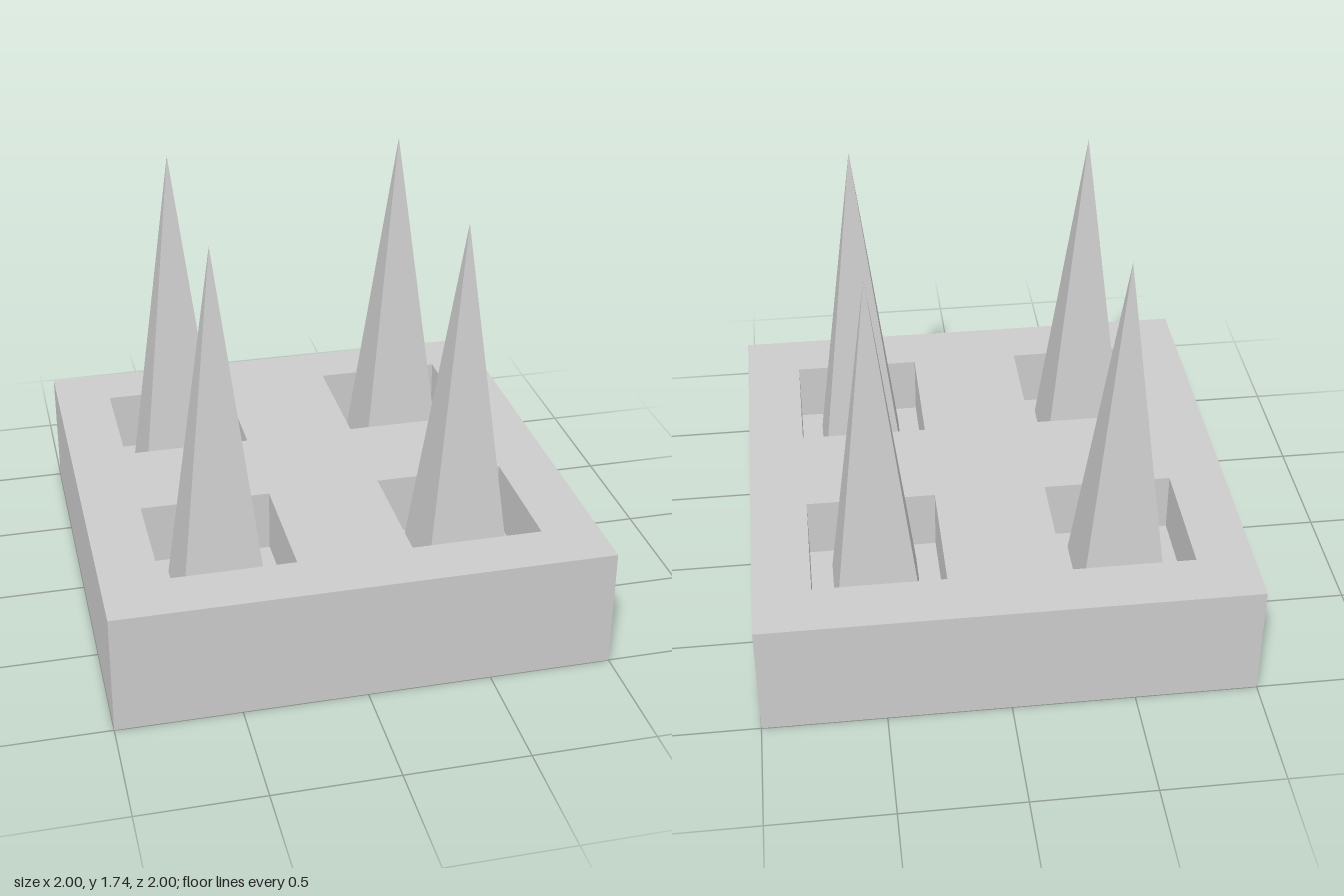
import * as THREE from 'three';

const TOP = 0.5, FLOOR = 0.24, PIT = 0.535, SPIKE_HEIGHT = 1.5;

// Box without its top face; inward = true turns the faces inside for a pit
function openBox(width, bottom, top, inward) {
  const geo = new THREE.BoxGeometry(width, top - bottom, width);
  geo.translate(0, (top + bottom) / 2, 0);
  const index = Array.from(geo.index.array);
  index.splice(12, 6);
  if (inward) index.reverse();
  geo.clearGroups();
  geo.setIndex(index);
  geo.computeVertexNormals();
  return geo;
}

// Counter-clockwise corners of a square
function square(cx, cy, size) {
  const h = size / 2;
  return [[-h, -h], [h, -h], [h, h], [-h, h]].map(([x, y]) => new THREE.Vector2(cx + x, cy + y));
}

export function createModel() {
  const model = new THREE.Group();
  const material = new THREE.MeshStandardMaterial({ color: 0xcccccc, flatShading: true });
  const add = (name, geo, x = 0, z = 0) => {
    const mesh = new THREE.Mesh(geo, material);
    mesh.name = name;
    mesh.position.set(x, 0, z);
    model.add(mesh);
  };

  // Block sides and underside
  add('baseBlock', openBox(2, 0, TOP, false));

  // Four spikes, each standing in a square pit
  const topShape = new THREE.Shape(square(0, 0, 2));
  const pitGeo = openBox(PIT, FLOOR, TOP, true);
  const spikeGeo = new THREE.ConeGeometry(0.25, SPIKE_HEIGHT, 4);
  spikeGeo.rotateY(Math.PI / 4);
  spikeGeo.translate(0, FLOOR + SPIKE_HEIGHT / 2, 0);
  for (const x of [-0.5, 0.5]) {
    for (const z of [-0.5, 0.5]) {
      topShape.holes.push(new THREE.Path(square(x, -z, PIT)));
      add('pit', pitGeo, x, z);
      add('spike', spikeGeo, x, z);
    }
  }

  // Top face with the pit openings
  const topGeo = new THREE.ShapeGeometry(topShape);
  topGeo.rotateX(-Math.PI / 2);
  topGeo.translate(0, TOP, 0);
  add('topFace', topGeo);

  return model;
}
